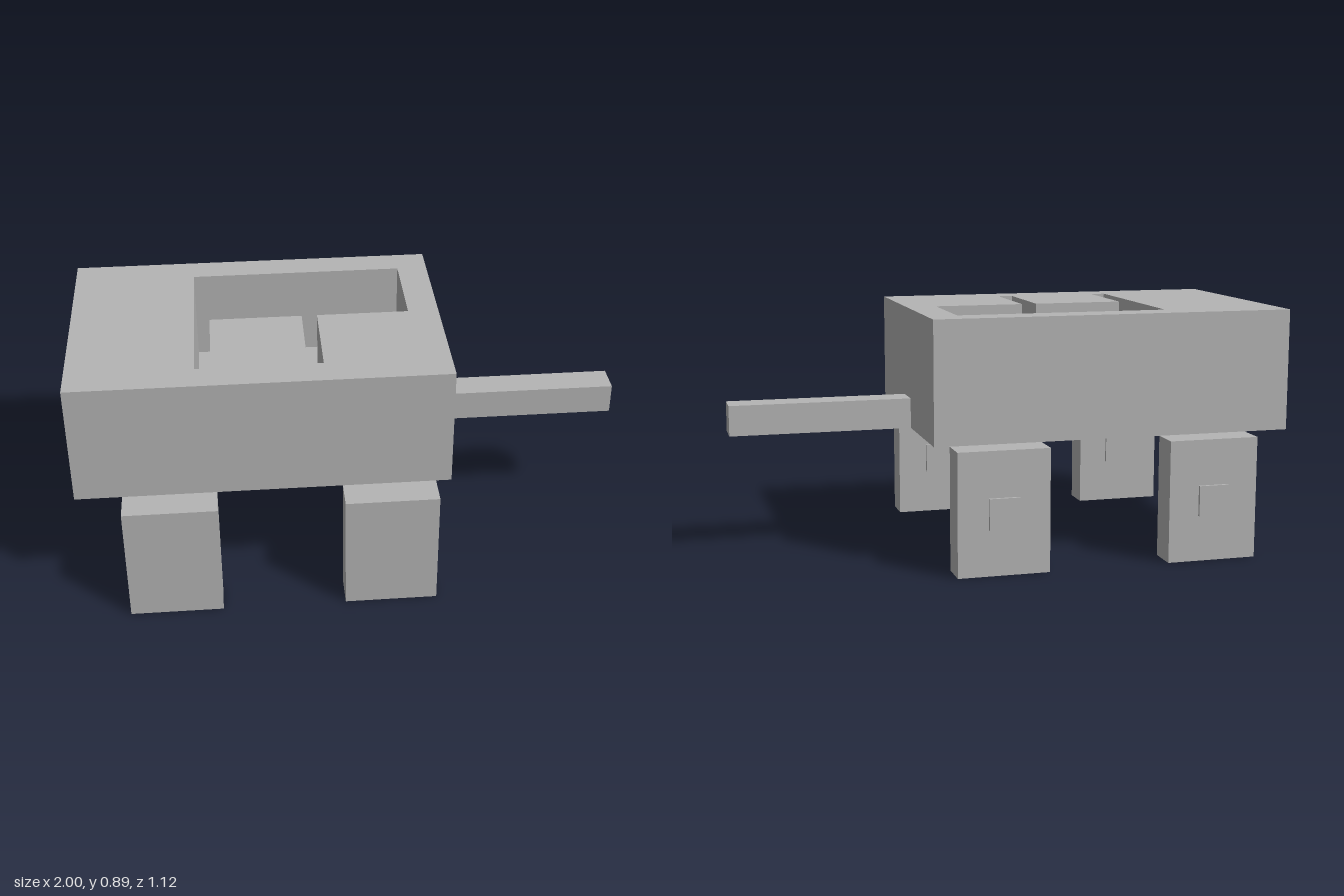
import * as THREE from 'three';

const U = 1 / 9;        // base module: every size is a multiple of this
const Z0 = 0.0055;      // body centre line

export function createModel() {
  const model = new THREE.Group();
  model.name = 'slottedCart';
  const grey = new THREE.MeshStandardMaterial({ color: 0xb4b4b4 });
  grey.name = 'plain grey';

  // Box given by its minimum and maximum corners
  const box = (name, x0, x1, y0, y1, z0, z1, parent = model) => {
    const mesh = new THREE.Mesh(new THREE.BoxGeometry(x1 - x0, y1 - y0, z1 - z0), grey);
    mesh.position.set((x0 + x1) / 2, (y0 + y1) / 2, (z0 + z1) / 2);
    mesh.name = name;
    parent.add(mesh);
    return mesh;
  };

  // Body: a floor slab with thick walls around a pocket that has two narrow slots
  const left = -1, right = 3 * U, half = 4 * U, bottom = 4 * U, floor = 5 * U, top = 8 * U;
  const body = new THREE.Group();
  body.name = 'body';
  model.add(body);
  box('bodyFloor', left, right, bottom, floor, Z0 - half, Z0 + half, body);

  const toPoints = (pairs) => pairs.map(([x, z]) => new THREE.Vector2(x, -z));
  const outline = new THREE.Shape(toPoints([
    [left, half], [right, half], [right, -half], [left, -half],
  ]));
  outline.holes.push(new THREE.Path(toPoints([
    [-5 * U, -3 * U], [2 * U, -3 * U], [2 * U, 0],
    [-U, 0], [-U, 3 * U], [-1.5 * U, 3 * U], [-1.5 * U, 0],
    [-4.5 * U, 0], [-4.5 * U, 3 * U], [-5 * U, 3 * U],
  ])));
  const wallGeometry = new THREE.ExtrudeGeometry(outline, { depth: top - floor, bevelEnabled: false });
  wallGeometry.rotateX(-Math.PI / 2);
  const walls = new THREE.Mesh(wallGeometry, grey);
  walls.position.set(0, floor, Z0);
  walls.name = 'bodyWalls';
  body.add(walls);

  // Tow bar
  box('towBar', right, 1, bottom, bottom + U, Z0 - U / 2, Z0 + U / 2);

  // Four slab legs, each with a small square pad on its rear face
  for (const x of [-7.5 * U, -0.5 * U]) {
    for (const [side, z] of [['front', Z0 + half], ['back', Z0 - half - U]]) {
      const leg = new THREE.Group();
      leg.name = side + 'Leg';
      model.add(leg);
      box('legSlab', x, x + 3 * U, 0, bottom, z, z + U, leg);
      box('legPad', x + U, x + 2 * U, 1.5 * U, 2.5 * U, z - 0.011, z, leg);
    }
  }
  return model;
}
